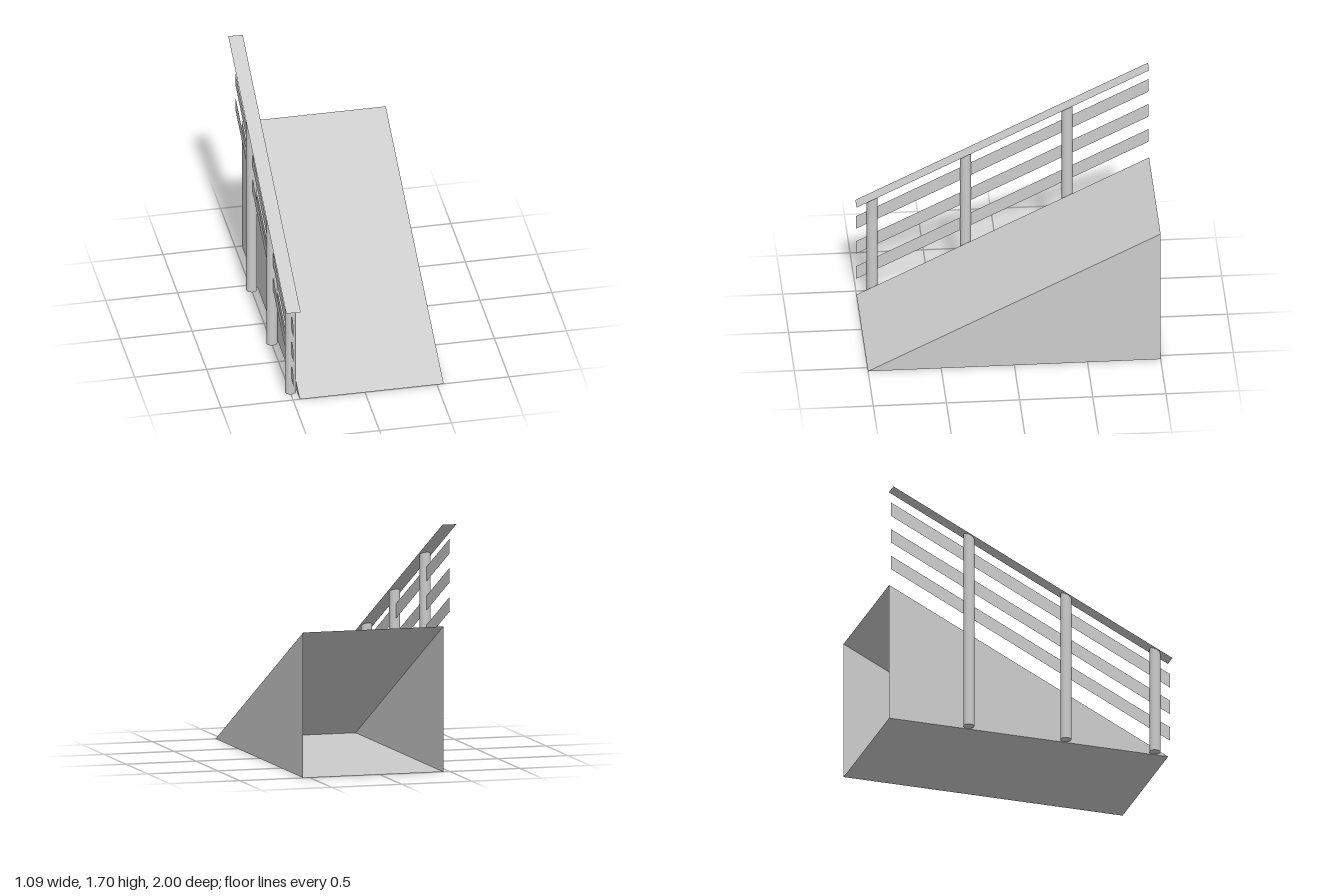
import * as THREE from 'three';

const RAIL_X = -0.497, RAIL_W = 0.1, POST_R = 0.0375;
const RAMP_LEFT = 0.547, RAMP_RIGHT = -0.453;

// Height of the ramp surface above the ground at a given z
const rampY = (z) => (1 - z) / 2;

const sheetMaterial = new THREE.MeshStandardMaterial({ color: 0xcccccc, side: THREE.DoubleSide, flatShading: true });
const postMaterial = new THREE.MeshStandardMaterial({ color: 0xcccccc });

// Flat convex sheet from corners listed counter-clockwise as seen from its front
function sheet(name, corners) {
  const geometry = new THREE.BufferGeometry();
  geometry.setAttribute('position', new THREE.Float32BufferAttribute(corners.flat(), 3));
  geometry.setIndex(corners.length === 4 ? [0, 1, 2, 0, 2, 3] : [0, 1, 2]);
  geometry.computeVertexNormals();
  const mesh = new THREE.Mesh(geometry, sheetMaterial);
  mesh.name = name;
  return mesh;
}

// Hollow wedge, open at the back
function createRamp() {
  const ramp = new THREE.Group();
  ramp.name = 'ramp';
  const l = RAMP_LEFT, r = RAMP_RIGHT;
  ramp.add(
    sheet('slope', [[r, 0, 1], [l, 0, 1], [l, 1, -1], [r, 1, -1]]),
    sheet('base', [[r, 0, -1], [l, 0, -1], [l, 0, 1], [r, 0, 1]]),
    sheet('leftSide', [[l, 0, 1], [l, 0, -1], [l, 1, -1]]),
    sheet('rightSide', [[r, 0, -1], [r, 0, 1], [r, 1, -1]]),
  );
  return ramp;
}

// Round post standing on the ground, its top cut to the pitch of the handrail
function createPost(z) {
  const geometry = new THREE.CylinderGeometry(POST_R, POST_R, 1, 32);
  geometry.translate(0, 0.5, 0);
  const p = geometry.attributes.position;
  for (let i = 0; i < p.count; i++) {
    if (p.getY(i) > 0.5) p.setY(i, rampY(z + p.getZ(i)) + 0.699);
  }
  // Keep the wall normals horizontal and tilt only the top cap
  const n = geometry.attributes.normal;
  const up = new THREE.Vector3(0, 2, 1).normalize();
  for (let i = 0; i < n.count; i++) {
    if (n.getY(i) > 0.9) n.setXYZ(i, up.x, up.y, up.z);
  }
  const post = new THREE.Mesh(geometry, postMaterial);
  post.name = 'post';
  post.position.set(RAIL_X, 0, z);
  return post;
}

function createRailing() {
  const railing = new THREE.Group();
  railing.name = 'railing';
  for (const z of [0.89, 0.252, -0.443]) railing.add(createPost(z));

  // Three thin slats following the slope, with upright ends
  for (const y of [0.1, 0.3, 0.5]) {
    railing.add(sheet('slat', [
      [RAIL_X, y, 1], [RAIL_X, y + 1, -1], [RAIL_X, y + 1.1, -1], [RAIL_X, y + 0.1, 1],
    ]));
  }

  // Flat handrail lying on the post tops
  const a = RAIL_X - RAIL_W / 2, b = RAIL_X + RAIL_W / 2;
  railing.add(sheet('handrail', [[a, 0.7, 1], [b, 0.7, 1], [b, 1.7, -1], [a, 1.7, -1]]));
  return railing;
}

export function createModel() {
  const model = new THREE.Group();
  model.name = 'rampWithRailing';
  model.add(createRamp(), createRailing());
  return model;
}
